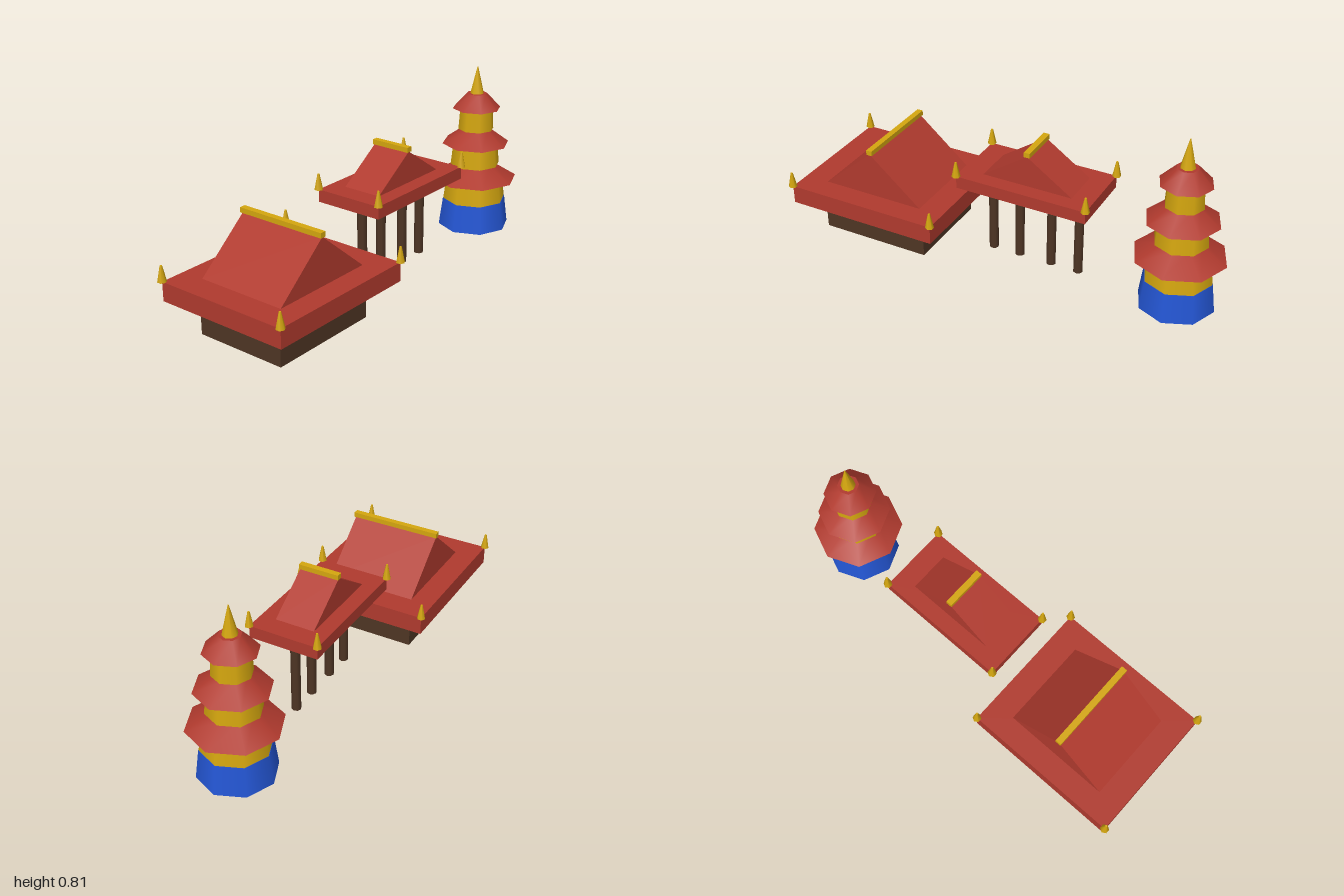
import * as THREE from 'three';

const mat = (name, color) => {
  const m = new THREE.MeshStandardMaterial({ color });
  m.name = name;
  return m;
};

export function createModel() {
  const red = mat('roof red', 0xb03a2e);
  const gold = mat('gold', 0xd4a60f);
  const brown = mat('dark wood', 0x4e3524);
  const blue = mat('blue', 0x2456d4);

  const root = new THREE.Group();
  root.name = 'templeCompound';

  const group = (name, x) => {
    const g = new THREE.Group();
    g.name = name;
    g.position.x = x;
    root.add(g);
    return g;
  };
  const add = (parent, name, geometry, material, x = 0, y = 0, z = 0) => {
    const m = new THREE.Mesh(geometry, material);
    m.name = name;
    m.position.set(x, y, z);
    parent.add(m);
  };
  // Box and tapered column given by their bottom and top heights
  const box = (parent, name, material, w, y0, y1, d) =>
    add(parent, name, new THREE.BoxGeometry(w, y1 - y0, d), material, 0, (y0 + y1) / 2);
  const taper = (parent, name, material, r0, r1, y0, y1, sides = 8, x = 0, z = 0) =>
    add(parent, name, new THREE.CylinderGeometry(r1, r0, y1 - y0, sides), material, x, (y0 + y1) / 2, z);

  // Eave slab, gable prism, ridge beam and corner finials
  const addRoof = (g, o) => {
    box(g, 'eaveSlab', red, o.w * 2, o.y0, o.y1, o.d * 2);
    const s = new THREE.Shape();
    s.moveTo(-o.gw, 0);
    s.lineTo(o.gw, 0);
    s.lineTo(0, o.peak - o.y1);
    s.closePath();
    const prism = new THREE.ExtrudeGeometry(s, { depth: o.gd * 2, bevelEnabled: false });
    add(g, 'gable', prism, red, 0, o.y1, -o.gd);
    box(g, 'ridgeBeam', gold, 0.028, o.peak - 0.002, o.peak + 0.021, o.ridge * 2);
    for (const sx of [-1, 1])
      for (const sz of [-1, 1])
        taper(g, 'cornerFinial', gold, 0.02, 0.005, o.y1, o.y1 + 0.072, 6, sx * o.w, sz * o.d);
  };

  // Main hall
  const hall = group('hall', -0.617);
  box(hall, 'hallBase', brown, 0.53, 0, 0.145, 0.436);
  addRoof(hall, { w: 0.367, d: 0.32, y0: 0.159, y1: 0.246, gw: 0.249, gd: 0.213, peak: 0.459, ridge: 0.218 });

  // Gate on a row of four posts
  const gate = group('gate', 0.109);
  for (const x of [-0.213, -0.079, 0.079, 0.213])
    taper(gate, 'post', brown, 0.022, 0.022, 0, 0.368, 8, x);
  addRoof(gate, { w: 0.309, d: 0.165, y0: 0.38, y1: 0.438, gw: 0.213, gd: 0.093, peak: 0.583, ridge: 0.096 });

  // Octagonal pagoda
  const pagoda = group('pagoda', 0.788);
  taper(pagoda, 'plinth', blue, 0.174, 0.156, 0, 0.137);
  const tiers = [
    // wall bottom, wall top, eave, roof top radii, then heights
    [0.154, 0.141, 0.207, 0.09, 0.137, 0.245, 0.317],
    [0.121, 0.11, 0.164, 0.067, 0.317, 0.424, 0.496],
    [0.087, 0.08, 0.117, 0.048, 0.496, 0.602, 0.675],
  ];
  for (const [w0, w1, e0, e1, y0, y1, y2] of tiers) {
    taper(pagoda, 'tierWall', gold, w0, w1, y0, y1);
    taper(pagoda, 'tierRoof', red, e0, e1, y1, y2);
  }
  taper(pagoda, 'spire', gold, 0.033, 0.002, 0.675, 0.806);

  return root;
}
